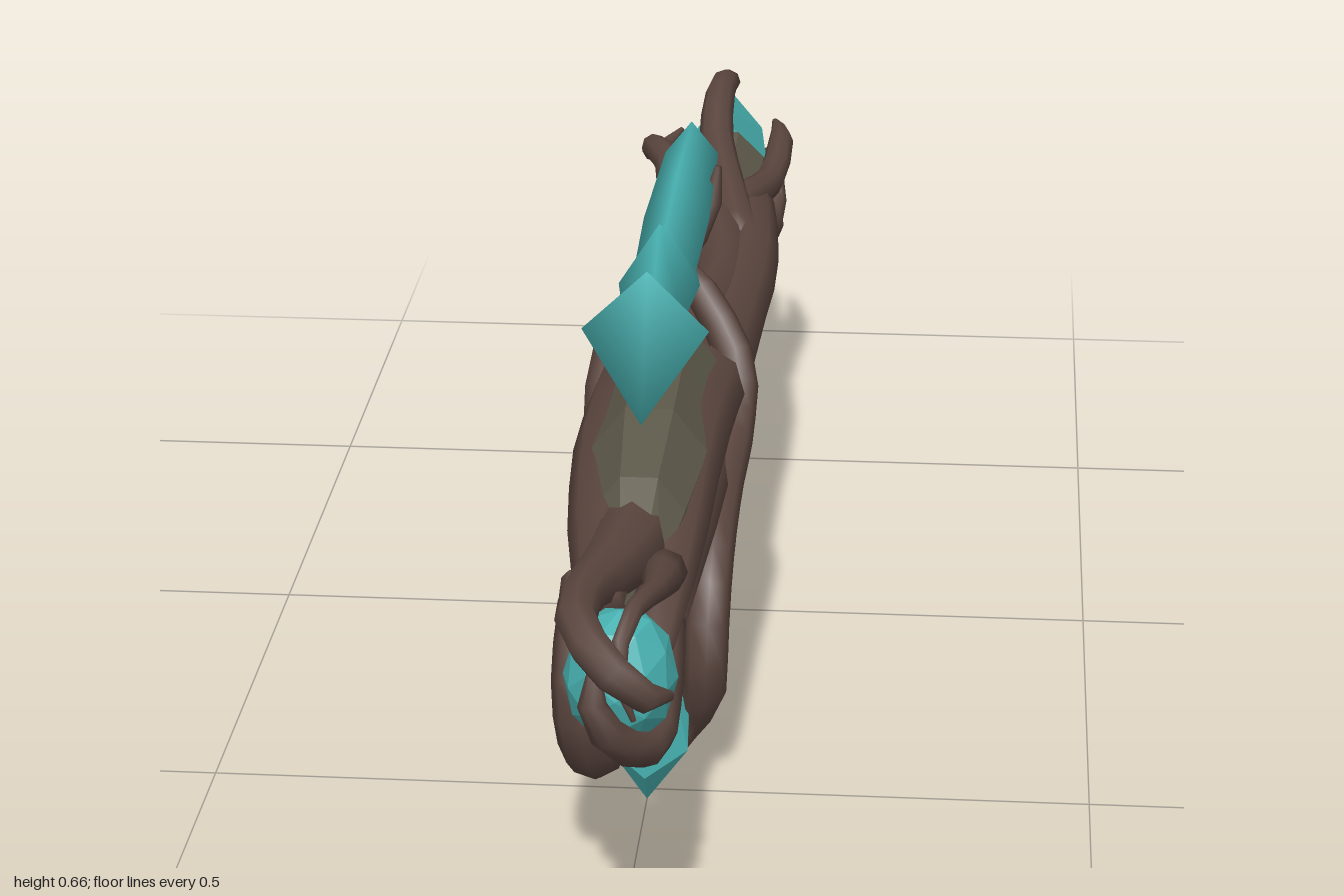
import * as THREE from 'three';
import { ConvexGeometry } from 'three/addons/geometries/ConvexGeometry.js';

const bark = new THREE.MeshStandardMaterial({ color: 0x5a453e });
const moss = new THREE.MeshStandardMaterial({ color: 0x5d594a });
const crystal = new THREE.MeshStandardMaterial({ color: 0x48b0b0 });
bark.name = 'bark';
moss.name = 'mossy bark';
crystal.name = 'teal crystal';

// Joins closed rings of corners (counterclockwise about the path) and caps both ends.
function stitch(rings, flat) {
  const n = rings[0].length, pos = [], idx = [];
  rings.forEach(r => r.forEach(p => pos.push(p.x, p.y, p.z)));
  for (let i = 0; i < rings.length - 1; i++) {
    for (let j = 0; j < n; j++) {
      const a = i * n + j, b = i * n + (j + 1) % n;
      idx.push(a, b, a + n, b, b + n, a + n);
    }
  }
  const last = (rings.length - 1) * n;
  for (let j = 1; j < n - 1; j++) idx.push(0, j + 1, j, last, last + j, last + j + 1);
  const g = new THREE.BufferGeometry();
  g.setAttribute('position', new THREE.Float32BufferAttribute(pos, 3));
  g.setIndex(idx);
  const out = flat ? g.toNonIndexed() : g;
  out.computeVertexNormals();
  return out;
}

// Tapering vine through points of [x, y, z, radius].
function vineGeometry(points, sides = 8) {
  const curve = new THREE.CatmullRomCurve3(points.map(p => new THREE.Vector3(p[0], p[1], p[2])));
  const steps = (points.length - 1) * 2;
  const frames = curve.computeFrenetFrames(steps, false);
  const rings = [];
  for (let i = 0; i <= steps; i++) {
    const t = curve.getUtoTmapping(i / steps);
    const k = Math.min(t * (points.length - 1), points.length - 1.0001);
    const f = Math.floor(k);
    const r = THREE.MathUtils.lerp(points[f][3], points[f + 1][3], k - f);
    const c = curve.getPoint(t), ring = [];
    for (let j = 0; j < sides; j++) {
      const a = j / sides * Math.PI * 2;
      ring.push(c.clone().addScaledVector(frames.normals[i], r * Math.cos(a))
        .addScaledVector(frames.binormals[i], r * Math.sin(a)));
    }
    rings.push(ring);
  }
  return stitch(rings);
}

export function createModel() {
  const model = new THREE.Group();
  model.name = 'vineBlaster';
  const add = (name, geometry, material) => {
    const mesh = new THREE.Mesh(geometry, material);
    mesh.name = name;
    model.add(mesh);
  };
  const vine = (name, points) => add(name, vineGeometry(points), bark);
  const shard = (name, points) =>
    add(name, new ConvexGeometry(points.map(p => new THREE.Vector3(...p))), crystal);

  // Mossy inner trunk: [z, bottom, top, half width]
  const trunk = [[0.7, 0.32, 0.375, 0.03], [0.61, 0.3, 0.43, 0.05], [0.48, 0.29, 0.458, 0.065],
    [0.2, 0.29, 0.452, 0.06], [0.08, 0.29, 0.395, 0.05], [-0.25, 0.26, 0.36, 0.045],
    [-0.5, 0.29, 0.4, 0.055], [-0.65, 0.3, 0.42, 0.06]];
  add('trunk', stitch(trunk.map(([z, b, t, w]) => Array.from({ length: 8 }, (_, j) => {
    const a = (j + 0.5) / 8 * Math.PI * 2;
    return new THREE.Vector3(w * 1.08 * Math.sin(a), (t + b) / 2 + (t - b) / 2 * 1.08 * Math.cos(a), z);
  })), true), moss);

  // Vines wound along the trunk
  vine('rightBodyVine', [[-0.02, 0.37, 0.82, 0.022], [-0.035, 0.365, 0.66, 0.038], [-0.046, 0.375, 0.42, 0.047],
    [-0.045, 0.365, 0.18, 0.045], [-0.032, 0.355, 0, 0.043], [-0.028, 0.335, -0.25, 0.045],
    [-0.045, 0.36, -0.5, 0.04], [-0.04, 0.36, -0.64, 0.025]]);
  vine('leftBodyVine', [[0.03, 0.31, 0.78, 0.022], [0.035, 0.35, 0.64, 0.036], [0.036, 0.385, 0.4, 0.046],
    [0.045, 0.365, 0.15, 0.045], [0.05, 0.345, -0.1, 0.043], [0.055, 0.345, -0.3, 0.045],
    [0.048, 0.36, -0.5, 0.038], [0.04, 0.34, -0.64, 0.025]]);
  vine('lowerRightVine', [[-0.03, 0.275, 0.8, 0.025], [-0.042, 0.3, 0.64, 0.033], [-0.045, 0.32, 0.42, 0.036],
    [-0.04, 0.315, 0.2, 0.04], [-0.03, 0.31, 0, 0.038], [-0.022, 0.285, -0.26, 0.042],
    [-0.045, 0.31, -0.46, 0.034], [-0.05, 0.32, -0.64, 0.02]]);
  vine('lowerLeftVine', [[0.03, 0.29, 0.7, 0.025], [0.042, 0.32, 0.45, 0.035], [0.042, 0.315, 0.2, 0.04],
    [0.04, 0.315, 0, 0.038], [0.035, 0.29, -0.28, 0.043], [0.04, 0.32, -0.5, 0.035], [0.03, 0.32, -0.64, 0.02]]);
  vine('upperVine', [[0, 0.39, 0.16, 0.03], [0.01, 0.375, 0, 0.035], [0.03, 0.36, -0.25, 0.035],
    [0.01, 0.375, -0.42, 0.035], [0, 0.4, -0.58, 0.028]]);

  // Faceted muzzle orb and the claws that hold it
  const orb = new THREE.IcosahedronGeometry(0.07, 1);
  orb.scale(0.85, 1.05, 0.95);
  orb.translate(0.005, 0.325, 0.885);
  orb.computeVertexNormals();
  add('muzzleOrb', orb, crystal);
  vine('upperClaw', [[0, 0.36, 0.5, 0.045], [-0.005, 0.37, 0.64, 0.044], [-0.02, 0.385, 0.76, 0.032],
    [-0.035, 0.4, 0.85, 0.023], [-0.035, 0.4, 0.925, 0.022], [0, 0.375, 0.976, 0.021],
    [0.035, 0.345, 0.975, 0.018], [0.06, 0.33, 0.94, 0.006]]);
  vine('lowerClaw', [[0.02, 0.3, 0.66, 0.035], [0.035, 0.265, 0.8, 0.027], [0.035, 0.25, 0.89, 0.022],
    [0.005, 0.285, 0.955, 0.02], [-0.015, 0.33, 0.975, 0.016], [-0.015, 0.37, 0.955, 0.005]]);
  vine('sideClaw', [[0.035, 0.36, 0.7, 0.025], [0.035, 0.395, 0.83, 0.013], [0.02, 0.41, 0.92, 0.01],
    [0.008, 0.37, 0.962, 0.009], [0.025, 0.31, 0.96, 0.003]]);

  // Curled vine hanging under the front
  vine('hangingVine', [[-0.045, 0.33, 0.66, 0.035], [-0.05, 0.25, 0.735, 0.034], [-0.045, 0.18, 0.738, 0.034],
    [-0.04, 0.135, 0.68, 0.03], [-0.035, 0.12, 0.62, 0.022], [-0.03, 0.135, 0.56, 0.006]]);

  // Paired vines: crossed horns above, wrapping the front grip below
  for (const s of [-1, 1]) {
    const top = s < 0 ? [0.048, 0.61, 0.08] : [-0.016, 0.54, 0.035];
    const mid = s < 0 ? [0.035, 0.55, 0.085] : [-0.006, 0.495, 0.075];
    vine(s < 0 ? 'rightGripVine' : 'leftGripVine', [[...top, 0.004], [...mid, 0.015],
      [s * 0.035, 0.46, 0.12, 0.021], [s * 0.075, 0.39, 0.155, 0.024], [s * 0.077, 0.335, 0.22, 0.024],
      [s * 0.07, 0.305, 0.34, 0.025], [s * 0.066, 0.26, 0.45, 0.026], [s * 0.064, 0.19, 0.495, 0.026],
      [s * 0.062, 0.12, 0.492, 0.025], [s * 0.048, 0.08, 0.462, 0.023], [s * 0.02, 0.018, 0.468, 0.007]]);
  }

  // Grip crystals
  const sides = (w, list) => list.flatMap(([y, z]) => [[-w, y, z], [w, y, z]]);
  shard('frontGripCrystal', [[0, 0, 0.525], [0, 0.04, 0.555], [0, 0.28, 0.49], [0, 0.2, 0.325], [0, 0.3, 0.32],
    [0, 0.04, 0.47], ...sides(0.045, [[0.29, 0.41], [0.2, 0.41], [0.055, 0.51]])]);
  shard('rearGripCrystal', [[0, 0.3, 0.19], [0, 0.23, 0.13], [0, 0.3, 0], [0, 0.17, -0.085], [0, 0.08, -0.085],
    [0, 0.08, -0.025], ...sides(0.05, [[0.28, 0.09], [0.2, 0.02], [0.125, -0.05]])]);
  vine('shortGripVine', [[0.04, 0.32, 0.23, 0.03], [0.045, 0.26, 0.19, 0.024], [0.045, 0.215, 0.14, 0.019],
    [0.035, 0.2, 0.08, 0.005]]);
  for (const s of [-1, 1]) {
    vine(s < 0 ? 'rightRearGripVine' : 'leftRearGripVine', [[s * 0.04, 0.3, 0.01, 0.022],
      [s * 0.055, 0.245, -0.035, 0.017], [s * 0.055, 0.2, -0.06, 0.015], [s * 0.055, 0.14, -0.032, 0.013],
      [s * 0.04, 0.1, -0.03, 0.011], [s * 0.02, 0.065, -0.05, 0.004]]);
  }

  // Long floating top crystal: [z top, z side, z bottom, top, side, bottom, half width]
  const blade = [[0.595, 0.62, 0.64, 0.66, 0.603, 0.502, 0.068], [0.51, 0.52, 0.52, 0.615, 0.575, 0.508, 0.032],
    [0.44, 0.44, 0.44, 0.66, 0.59, 0.515, 0.045], [0.36, 0.36, 0.36, 0.628, 0.58, 0.52, 0.035],
    [0.2, 0.2, 0.2, 0.638, 0.585, 0.532, 0.038], [-0.03, -0.03, -0.02, 0.63, 0.59, 0.545, 0.032],
    [-0.175, -0.175, -0.175, 0.551, 0.55, 0.549, 0.001]];
  add('topCrystal', stitch(blade.map(([zt, zs, zb, t, m, b, w]) => [
    new THREE.Vector3(0.008, t, zt), new THREE.Vector3(w + 0.008, m, zs),
    new THREE.Vector3(0.005, b, zb), new THREE.Vector3(-w + 0.008, m, zs)])), crystal);

  // Tail crystal and the vines grasping it
  shard('tailCrystal', [[0, 0.305, -0.998], [0, 0.41, -0.87], [0, 0.44, -0.69], [0, 0.305, -0.62],
    [0, 0.41, -0.62], ...sides(0.06, [[0.36, -0.63], [0.355, -0.72], [0.31, -0.66]]),
    ...sides(0.045, [[0.36, -0.86], [0.31, -0.85]])]);
  vine('tailTopVine', [[0.05, 0.36, -0.34, 0.03], [0.02, 0.405, -0.47, 0.025], [0, 0.44, -0.57, 0.023],
    [0, 0.475, -0.65, 0.02], [0.005, 0.465, -0.74, 0.017], [0, 0.43, -0.775, 0.005]]);
  vine('tailLeftVine', [[-0.01, 0.38, -0.36, 0.025], [0.04, 0.385, -0.46, 0.024], [0.072, 0.37, -0.6, 0.02],
    [0.08, 0.39, -0.71, 0.017], [0.065, 0.38, -0.83, 0.004]]);
  vine('tailRightVine', [[-0.04, 0.36, -0.44, 0.03], [-0.06, 0.4, -0.56, 0.022], [-0.09, 0.4, -0.64, 0.017],
    [-0.09, 0.37, -0.71, 0.014], [-0.06, 0.39, -0.75, 0.004]]);
  for (const s of [-1, 1]) {
    vine(s < 0 ? 'tailLowerRightVine' : 'tailLowerLeftVine', [[s * 0.05, 0.33, -0.48, 0.025],
      [s * 0.07, 0.305, -0.59, 0.02], [s * 0.07, 0.288, -0.67, 0.016], [s * 0.075, 0.32, -0.73, 0.013],
      [s * 0.06, 0.37, -0.74, 0.004]]);
  }
  return model;
}
